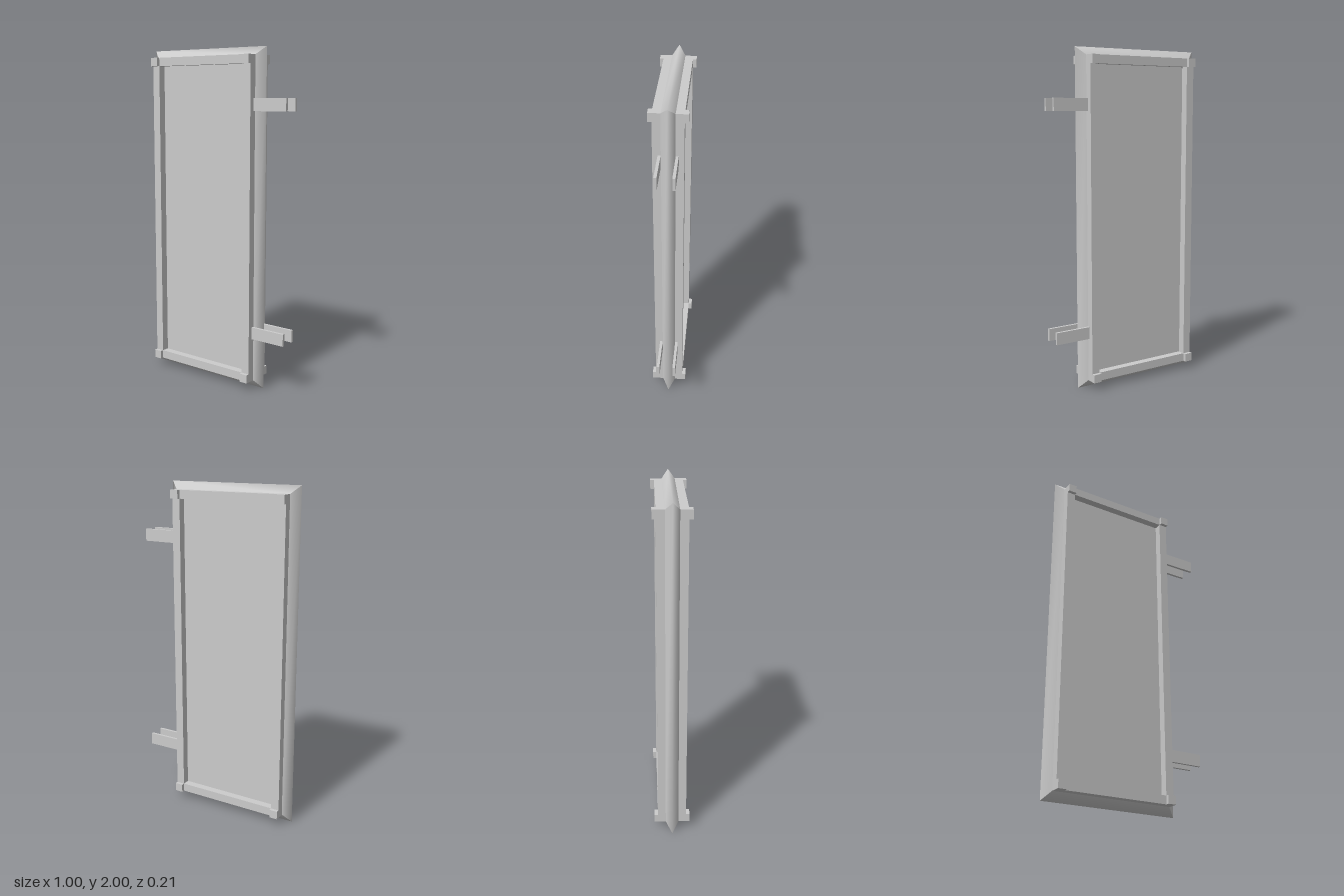
import * as THREE from 'three';

const material = new THREE.MeshStandardMaterial({ color: 0xcccccc });

// Door extents: sharp outer rim and the flat face inside it
const outer = { x0: -0.5, x1: 0.333, y0: 0, y1: 2 };
const inner = { x0: -0.45, x1: 0.282, y0: 0.05, y1: 1.955 };
const faceZ = 0.038;
const trimZ = 0.084;
const blockZ = 0.105;
const trimW = 0.05;

const cornersOf = (r) => [[r.x0, r.y0], [r.x1, r.y0], [r.x1, r.y1], [r.x0, r.y1]];

function addBox(group, name, x0, x1, y0, y1, z0, z1) {
  const mesh = new THREE.Mesh(new THREE.BoxGeometry(x1 - x0, y1 - y0, Math.abs(z1 - z0)), material);
  mesh.position.set((x0 + x1) / 2, (y0 + y1) / 2, (z0 + z1) / 2);
  mesh.name = name;
  group.add(mesh);
}

// One mitred side of the wedge-shaped rim, smooth across its ridge
function rimSide(i) {
  const a = cornersOf(inner), b = cornersOf(outer), j = (i + 1) % 4;
  const positions = [
    ...a[i], faceZ, ...a[j], faceZ,
    ...b[i], 0, ...b[j], 0,
    ...a[i], -faceZ, ...a[j], -faceZ,
  ];
  const geometry = new THREE.BufferGeometry();
  geometry.setAttribute('position', new THREE.Float32BufferAttribute(positions, 3));
  geometry.setIndex([0, 2, 3, 0, 3, 1, 2, 4, 5, 2, 5, 3]);
  geometry.computeVertexNormals();
  return geometry;
}

export function createModel() {
  const door = new THREE.Group();
  door.name = 'door';
  const { x0, x1, y0, y1 } = inner;

  // Flat slab and its bevelled rim
  addBox(door, 'panel', x0, x1, y0, y1, -faceZ, faceZ);
  for (let i = 0; i < 4; i++) {
    const side = new THREE.Mesh(rimSide(i), material);
    side.name = 'bevelledRim';
    door.add(side);
  }

  // Raised trim, corner blocks and hinge straps on both faces
  for (const s of [1, -1]) {
    for (const x of [x0, x1 - trimW]) {
      addBox(door, 'sideTrim', x, x + trimW, y0 + trimW, y1 - trimW, s * faceZ, s * trimZ);
      for (const y of [y0, y1 - trimW]) {
        addBox(door, 'cornerBlock', x, x + trimW, y, y + trimW, s * faceZ, s * blockZ);
      }
    }
    for (const y of [y0, y1 - trimW]) {
      addBox(door, 'crossTrim', x0 + trimW, x1 - trimW, y, y + trimW, s * faceZ, s * trimZ);
    }
    for (const y of [0.31, 1.642]) {
      addBox(door, 'hingeStrap', x1 - 0.02, 0.5, y, y + 0.072, s * 0.039, s * 0.055);
    }
  }
  return door;
}
